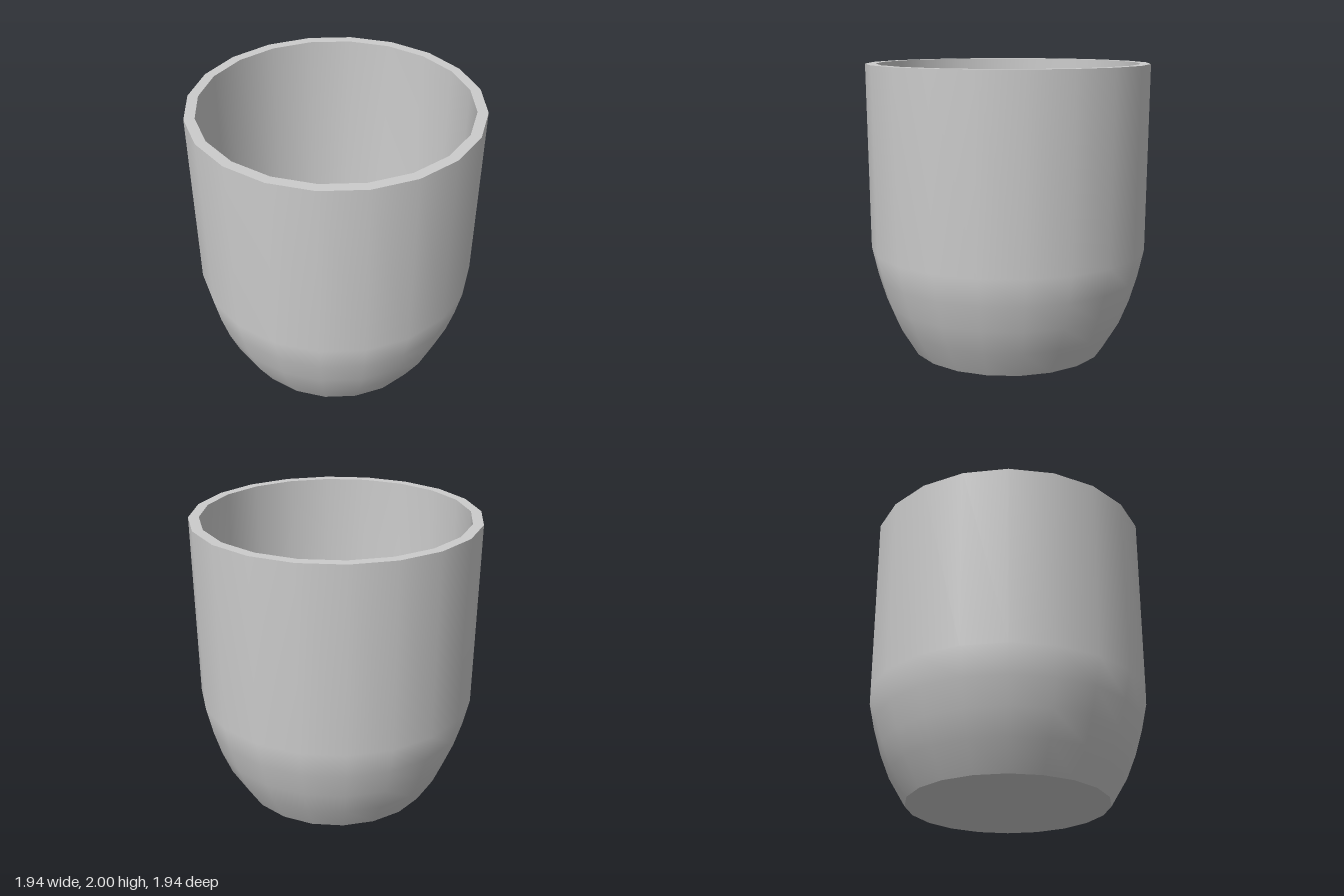
import * as THREE from 'three';

const SIDES = 20;
const WALL = 0.07;
const FLOOR = 0.07;

export function createModel() {
  const cup = new THREE.Group();
  cup.name = 'cup';
  const material = new THREE.MeshStandardMaterial({ color: 0xcccccc });

  // Each band is smooth in itself; separate bands keep the rim and base edges sharp
  function addBand(name, profile) {
    const points = profile.map(([r, y]) => new THREE.Vector2(r, y));
    const mesh = new THREE.Mesh(new THREE.LatheGeometry(points, SIDES), material);
    mesh.name = name;
    cup.add(mesh);
  }

  // Rounded lower body rising into nearly straight walls
  const outer = [[0.684, 0], [0.797, 0.19], [0.865, 0.36], [0.918, 0.54], [0.96, 0.73], [0.97, 2]];

  // Inner wall follows the outer one at constant thickness, from the rim down to the floor
  const inner = outer.map(([r, y], i) => [r - WALL, i === 0 ? FLOOR : y]).reverse();

  addBand('base', [[0, 0], outer[0]]);
  addBand('outerWall', outer);
  addBand('rim', [outer[outer.length - 1], inner[0]]);
  addBand('innerWall', inner);
  addBand('innerFloor', [inner[inner.length - 1], [0, FLOOR]]);

  return cup;
}
